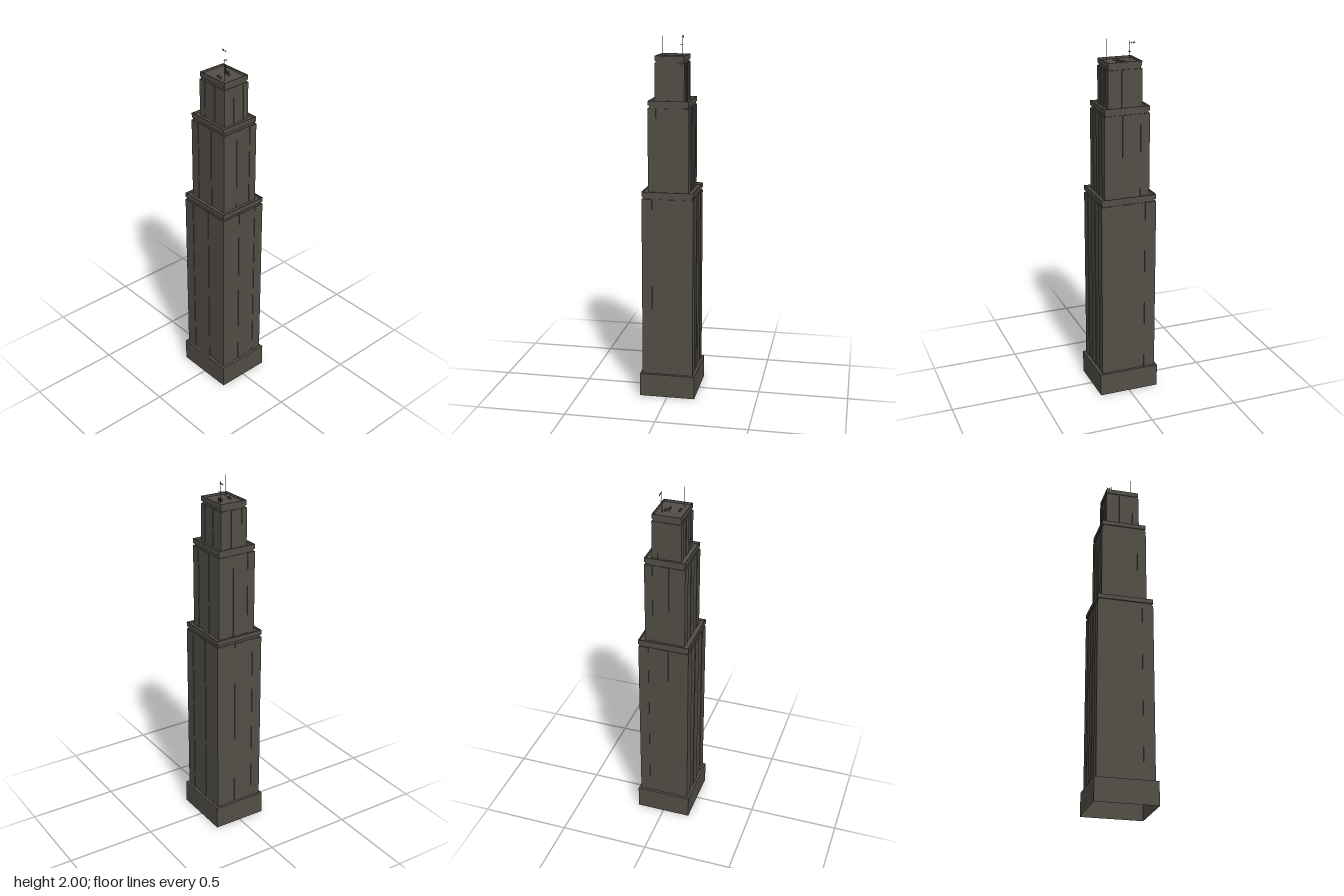
import * as THREE from 'three';

export function createModel() {
  const model = new THREE.Group();
  const stone = new THREE.MeshStandardMaterial({ color: 0x524e47, side: THREE.DoubleSide });
  stone.name = 'darkStone';

  // Box given by its centre in plan, its bottom and top, and its plan size
  function box(parent, name, x, z, y0, y1, w, d) {
    const mesh = new THREE.Mesh(new THREE.BoxGeometry(w, y1 - y0, d), stone);
    mesh.position.set(x, (y0 + y1) / 2, z);
    mesh.name = name;
    parent.add(mesh);
    return mesh;
  }

  // Upright rectangular ring with an open middle
  function ring(parent, name, y0, y1, w, d, t) {
    const rect = (P, a, b) => new P([[-a, -b], [a, -b], [a, b], [-a, b]].map(p => new THREE.Vector2(...p)));
    const shape = rect(THREE.Shape, w / 2, d / 2);
    shape.holes.push(rect(THREE.Path, w / 2 - t, d / 2 - t));
    const geo = new THREE.ExtrudeGeometry(shape, { depth: y1 - y0, bevelEnabled: false });
    geo.rotateX(-Math.PI / 2);
    const mesh = new THREE.Mesh(geo, stone);
    mesh.position.y = y0;
    mesh.name = name;
    parent.add(mesh);
  }

  // Base: a plinth that is hollow underneath
  const plinth = box(model, 'plinth', 0, 0, 0, 0.13, 0.344, 0.31);
  const index = [...plinth.geometry.index.array];
  index.splice(18, 6); // leave out the bottom face
  plinth.geometry.setIndex(index);
  plinth.geometry.clearGroups();

  // One setback: recessed core, upright piers, groove, parapet and sunken roof
  function tier(name, y0, y1, w, d, lip) {
    const g = new THREE.Group();
    g.name = name;
    g.position.x = -0.001;
    const r = 0.003, wallTop = y1 - 0.04, grooveTop = y1 - 0.026;
    box(g, 'core', 0, 0, y0, wallTop, w - 2 * r, d - 2 * r);
    for (const sx of [-1, 1]) for (const sz of [-1, 1]) {
      box(g, 'cornerPier', sx * w * 0.4, sz * d * 0.4, y0, wallTop, w * 0.2, d * 0.2);
    }
    box(g, 'middlePierFrontBack', 0, 0, y0, wallTop, w * 0.2, d);
    box(g, 'middlePierSides', 0, 0, y0, wallTop, w, d * 0.2);
    box(g, 'groove', 0, 0, wallTop, grooveTop, w - 0.012, d - 0.012);
    box(g, 'roof', 0, 0, grooveTop, y1 - 0.012, w - 0.006, d - 0.006);
    ring(g, 'parapet', grooveTop, y1, w - lip, d - lip, 0.004);
    model.add(g);
  }
  tier('lowerTier', 0.13, 1.173, 0.316, 0.284, 0);
  tier('middleTier', 1.155, 1.662, 0.258, 0.224, 0.002);
  tier('upperTier', 1.645, 1.897, 0.194, 0.161, 0.003);

  // Rooftop machinery
  const units = [[-0.02, -0.033], [-0.007, -0.033], [-0.008, -0.018], [0.004, -0.018],
    [0.017, -0.018], [-0.004, 0.037], [0.008, 0.037], [0.016, 0.039]];
  for (const [x, z] of units) box(model, 'roofUnit', x, z, 1.884, 1.895, 0.01, 0.007);

  // Plain mast, and a mast carrying a crossbar aerial
  box(model, 'mast', 0.055, 0.046, 1.88, 2, 0.002, 0.002);
  const aerial = new THREE.Group();
  aerial.name = 'aerial';
  box(aerial, 'aerialFoot', -0.038, -0.044, 1.88, 1.92, 0.003, 0.003);
  box(aerial, 'aerialMast', -0.038, -0.044, 1.9, 2, 0.0016, 0.0016);
  box(aerial, 'aerialBoom', -0.053, -0.048, 1.989, 1.991, 0.034, 0.0015);
  box(aerial, 'aerialArm', -0.038, -0.044, 1.94, 1.942, 0.02, 0.0015);
  box(aerial, 'aerialCrossArm', -0.038, -0.044, 1.945, 1.947, 0.0015, 0.024);
  for (const x of [-0.067, -0.058, -0.046]) {
    box(aerial, 'aerialRod', x, -0.048, 1.985, 1.995, 0.001, 0.003);
  }
  model.add(aerial);
  return model;
}
